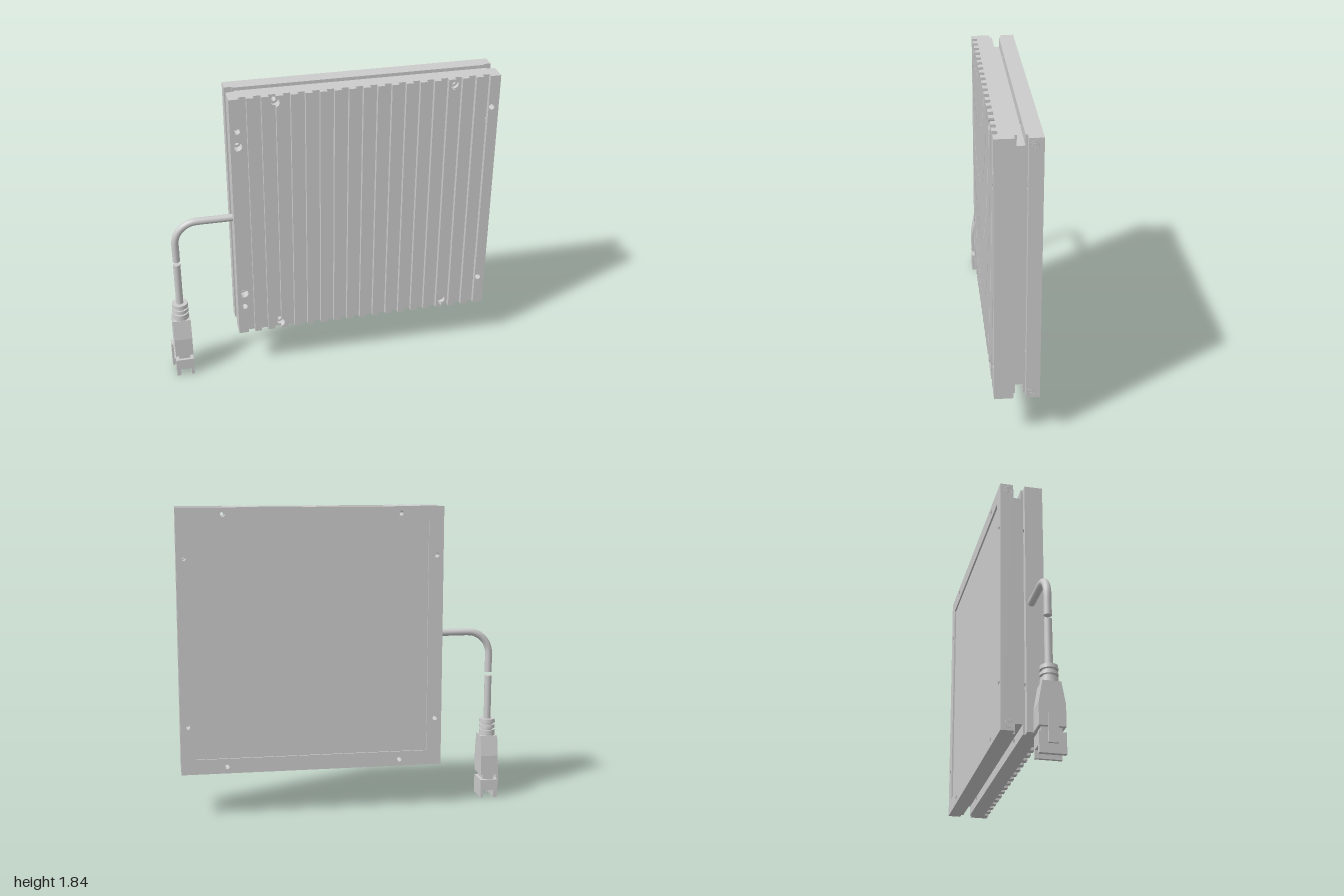
import * as THREE from 'three';

const mat = new THREE.MeshStandardMaterial({ color: 0xcccccc });
const X0 = -0.58, X1 = 1, Y0 = 0.265, Y1 = 1.84;
const XI0 = -0.535, XI1 = 0.955;               // inner edges beside the side grooves
const endHoles = [[-0.32, 1.8], [0.73, 1.8], [-0.32, 0.305], [0.73, 0.305]];
const sideHoles = [[-0.54, 1.55], [0.957, 1.55], [-0.54, 0.555], [0.957, 0.555]];
const pinHoles = [[-0.54, 1.645], [0.957, 1.645], [-0.54, 0.46], [0.957, 0.46]];
const R = 0.027, r = 0.014;                    // counterbore and through-hole radii

const rect = (x0, y0, x1, y1, P = THREE.Shape) => new P([
  [x0, y0], [x1, y0], [x1, y1], [x0, y1]].map(p => new THREE.Vector2(...p)));

function drill(shape, holes, radius) {
  for (const [x, y] of holes) {
    const h = new THREE.Path();
    h.absarc(x, y, radius, 0, Math.PI * 2, true);
    shape.holes.push(h);
  }
  return shape;
}

export function createModel() {
  const model = new THREE.Group();

  const add = (name, geo, x = 0, y = 0, z = 0, parent = model) => {
    const m = new THREE.Mesh(geo, mat);
    m.name = name;
    m.position.set(x, y, z);
    parent.add(m);
    return m;
  };
  const box = (name, x0, x1, y0, y1, z0, z1, parent) => add(name,
    new THREE.BoxGeometry(x1 - x0, y1 - y0, z1 - z0), (x0 + x1) / 2, (y0 + y1) / 2, (z0 + z1) / 2, parent);
  const layer = (name, shape, z0, z1) => add(name,
    new THREE.ExtrudeGeometry(shape, { depth: z1 - z0, bevelEnabled: false, curveSegments: 10 }), 0, 0, z0);
  const through = [...endHoles, ...sideHoles];

  // Rear frame around a shallow recessed window
  const frame = drill(rect(X0, Y0, X1, Y1), through, r);
  frame.holes.push(rect(X0 + 0.09, Y0 + 0.09, X1 - 0.09, Y1 - 0.09, THREE.Path));
  layer('rearFrame', frame, -0.128, -0.118);
  layer('windowPlate', drill(rect(X0, Y0, X1, Y1), through, r), -0.118, -0.05);
  layer('rearStep', drill(rect(XI0, Y0, XI1, Y1), endHoles, r), -0.05, -0.037);

  // Narrow waist between the two halves
  box('waist', XI0, XI1, 0.325, 1.78, -0.037, 0.007);

  // Heat sink base with counterbored holes
  layer('sinkStep', drill(rect(XI0, Y0, XI1, Y1), endHoles, r), 0.007, 0.02);
  layer('sinkBase', drill(rect(X0, Y0, X1, Y1), through, r), 0.02, 0.075);
  const bored = drill(drill(rect(X0, Y0, X1, Y1), through, R), pinHoles, 0.018);
  layer('sinkCounterbores', bored, 0.075, 0.1);

  // Wide outer fins carrying the side holes
  const a0 = -0.522, a1 = 0.938, step = (a1 - a0) / 35;
  for (const [s, e, left] of [[X0, a0, true], [a1, X1, false]]) {
    const here = ([x]) => (x < 0) === left;
    const strip = drill(rect(s, Y0, e, Y1), sideHoles.filter(here), R);
    layer('edgeFin', drill(strip, pinHoles.filter(here), 0.018), 0.1, 0.128);
  }

  // Inner fins, notched where a counterbore cuts into them
  for (let j = 1; j < 35; j += 2) {
    const s = a0 + j * step, e = s + step;
    const cuts = endHoles.filter(([x]) => x + R > s && x - R < e).sort((p, q) => p[1] - q[1]);
    const edge = (right) => {
      const pts = [[right ? e : s, Y0]];
      for (const [cx, cy] of cuts) {
        if ((cx > (s + e) / 2) !== right) continue;
        for (let i = 0; i <= 12; i++) {
          const t = -Math.PI / 2 + Math.PI * i / 12, dx = R * Math.cos(t);
          pts.push([right ? Math.min(e, cx - dx) : Math.max(s, cx + dx), cy + R * Math.sin(t)]);
        }
      }
      pts.push([right ? e : s, Y1]);
      return pts;
    };
    const outline = [...edge(true), ...edge(false).reverse()];
    layer('fin', new THREE.Shape(outline.map(p => new THREE.Vector2(...p))), 0.1, 0.128);
  }

  // Socket screws on both sides of the rear half
  for (const [x, d] of [[X0, -1], [X1, 1]]) for (const y of [0.305, 1.8]) {
    const screw = new THREE.Group();
    screw.name = 'sideScrew';
    screw.position.set(x - d * 0.003, y, -0.078);
    screw.rotation.y = d * Math.PI / 2;
    add('screwRim', new THREE.TorusGeometry(0.023, 0.004, 6, 24), 0, 0, 0, screw);
    add('screwSocket', new THREE.TorusGeometry(0.012, 0.003, 6, 6), 0, 0, 0.001, screw);
    model.add(screw);
  }

  // Cable in two lengths, with a break between them
  const CX = -0.927, CZ = 0.053, bend = 0.137, cy = 1.055;
  const V = (x, y) => new THREE.Vector3(x, y, CZ);
  const path = [V(-0.57, cy), V(-0.68, cy)];
  for (let i = 0; i <= 8; i++) {
    const t = Math.PI / 2 * (1 + i / 8);
    path.push(V(CX + bend + bend * Math.cos(t), cy - bend + bend * Math.sin(t)));
  }
  path.push(V(CX, 0.85), V(CX, 0.8));
  add('upperCable', new THREE.TubeGeometry(new THREE.CatmullRomCurve3(path), 60, 0.022, 16));
  add('cableEnd', new THREE.CylinderGeometry(0.022, 0.022, 0.01, 16), CX, 0.803, CZ);
  add('lowerCable', new THREE.CylinderGeometry(0.022, 0.022, 0.3, 16), CX, 0.625, CZ);

  // Connector: ribbed strain relief, tapered housing, neck, slotted plug and latch
  const plug = new THREE.Group();
  plug.name = 'connector';
  plug.position.set(CX, 0, CZ);
  model.add(plug);
  add('reliefCore', new THREE.CylinderGeometry(0.036, 0.036, 0.1, 20), 0, 0.445, 0, plug);
  for (const [y, h] of [[0.487, 0.024], [0.452, 0.02], [0.412, 0.034]])
    add('reliefRib', new THREE.CylinderGeometry(0.048, 0.05, h, 20), 0, y, 0, plug);

  const extrude = (pts, depth) => new THREE.ExtrudeGeometry(
    new THREE.Shape(pts.map(p => new THREE.Vector2(...p))), { depth, bevelEnabled: false })
    .translate(0, 0, -depth / 2);
  const housing = [[-0.072, 0.147], [0.072, 0.147], [0.072, 0.27], [0.05, 0.395], [-0.05, 0.395], [-0.072, 0.27]];
  add('housing', extrude(housing, 0.108).rotateY(-Math.PI / 2), 0, 0, 0, plug);
  box('neck', -0.034, 0.034, 0.11, 0.15, -0.056, 0.056, plug);
  const slotted = [[-0.054, 0], [-0.03, 0], [-0.03, 0.045], [0.036, 0.045], [0.036, 0],
    [0.054, 0], [0.054, 0.115], [-0.054, 0.115]];
  add('plugBody', extrude(slotted, 0.144), 0, 0, 0, plug);
  box('contact', -0.009, -0.003, 0.018, 0.05, -0.03, 0.03, plug);
  box('latch', -0.073, -0.061, 0.05, 0.21, -0.027, 0.027, plug);
  box('latchBridge', -0.063, -0.05, 0.06, 0.1, -0.027, 0.027, plug);

  return model;
}
